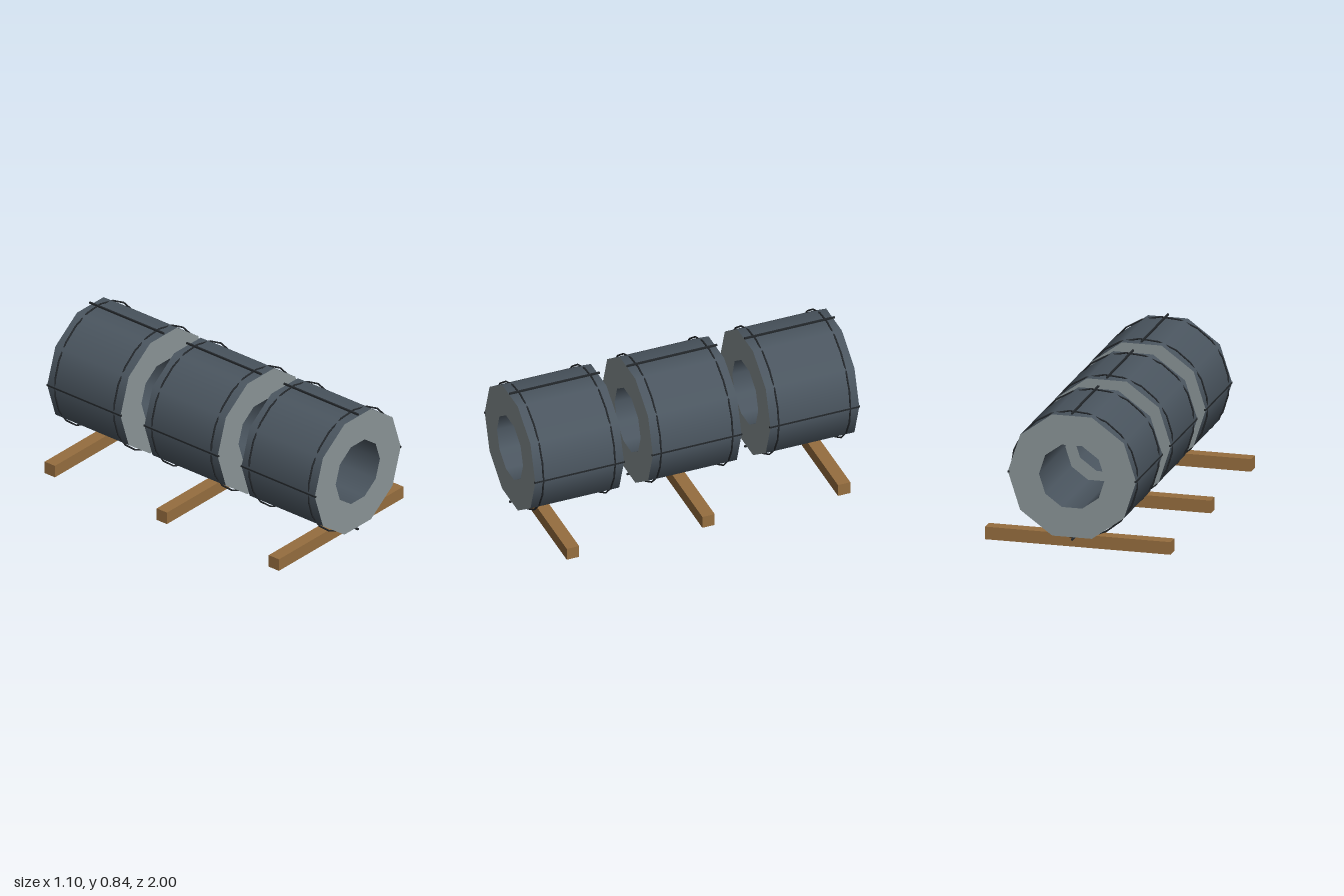
import * as THREE from 'three';

const CENTRE_Y = 0.4555, OUTER = 0.379, INNER = 0.195, LENGTH = 0.545, SIDES = 10;
const WIRE_RADIUS = 0.375, WIRE = 0.005;

function material(name, color) {
  const m = new THREE.MeshStandardMaterial({ color });
  m.name = name;
  return m;
}

function addMesh(parent, name, geometry, mat, x = 0, y = 0, z = 0) {
  const mesh = new THREE.Mesh(geometry, mat);
  mesh.name = name;
  mesh.position.set(x, y, z);
  parent.add(mesh);
  return mesh;
}

// Smooth ten-sided wall along z; dir = 1 faces outward, -1 faces inward
function wall(radius, dir) {
  const h = (LENGTH / 2) * dir;
  const profile = [new THREE.Vector2(radius, -h), new THREE.Vector2(radius, h)];
  return new THREE.LatheGeometry(profile, SIDES, Math.PI / 2).rotateX(Math.PI / 2);
}

export function createModel() {
  const model = new THREE.Group();
  model.name = 'coilsOnSkids';
  const steel = material('darkSteel', 0x4b5660);
  const edge = material('greyCoilEdge', 0x8b9597);
  const wire = material('blackStrap', 0x24282c);
  const wood = material('wood', 0x966e3f);

  [-1, 0, 1].forEach((i) => {
    const coil = new THREE.Group();
    coil.name = 'coil';
    coil.position.set(0, CENTRE_Y, i * 0.7225);
    model.add(coil);

    // Rolled body and bore
    addMesh(coil, 'coilOuterWall', wall(OUTER, 1), steel);
    addMesh(coil, 'coilBore', wall(INNER, -1), steel);

    // End faces and ring straps
    for (const s of [1, -1]) {
      const face = addMesh(coil, 'coilEndFace', new THREE.RingGeometry(INNER, OUTER, SIDES), edge, 0, 0, s * LENGTH / 2);
      if (s < 0) face.rotation.y = Math.PI;
      addMesh(coil, 'ringStrap', new THREE.TorusGeometry(WIRE_RADIUS, WIRE, 6, 21), wire, 0, 0, s * 0.22);
    }

    // Lengthwise straps at the four quarters
    for (let k = 0; k < 4; k++) {
      const a = k * Math.PI / 2;
      addMesh(coil, 'lengthStrap', new THREE.BoxGeometry(0.01, 0.01, 0.555), wire,
        WIRE_RADIUS * Math.cos(a), WIRE_RADIUS * Math.sin(a), 0);
    }

    // Timber skid beneath
    addMesh(model, 'skid', new THREE.BoxGeometry(1.096, 0.075, 0.076), wood, 0, 0.0375, i * 0.833);
  });
  return model;
}
